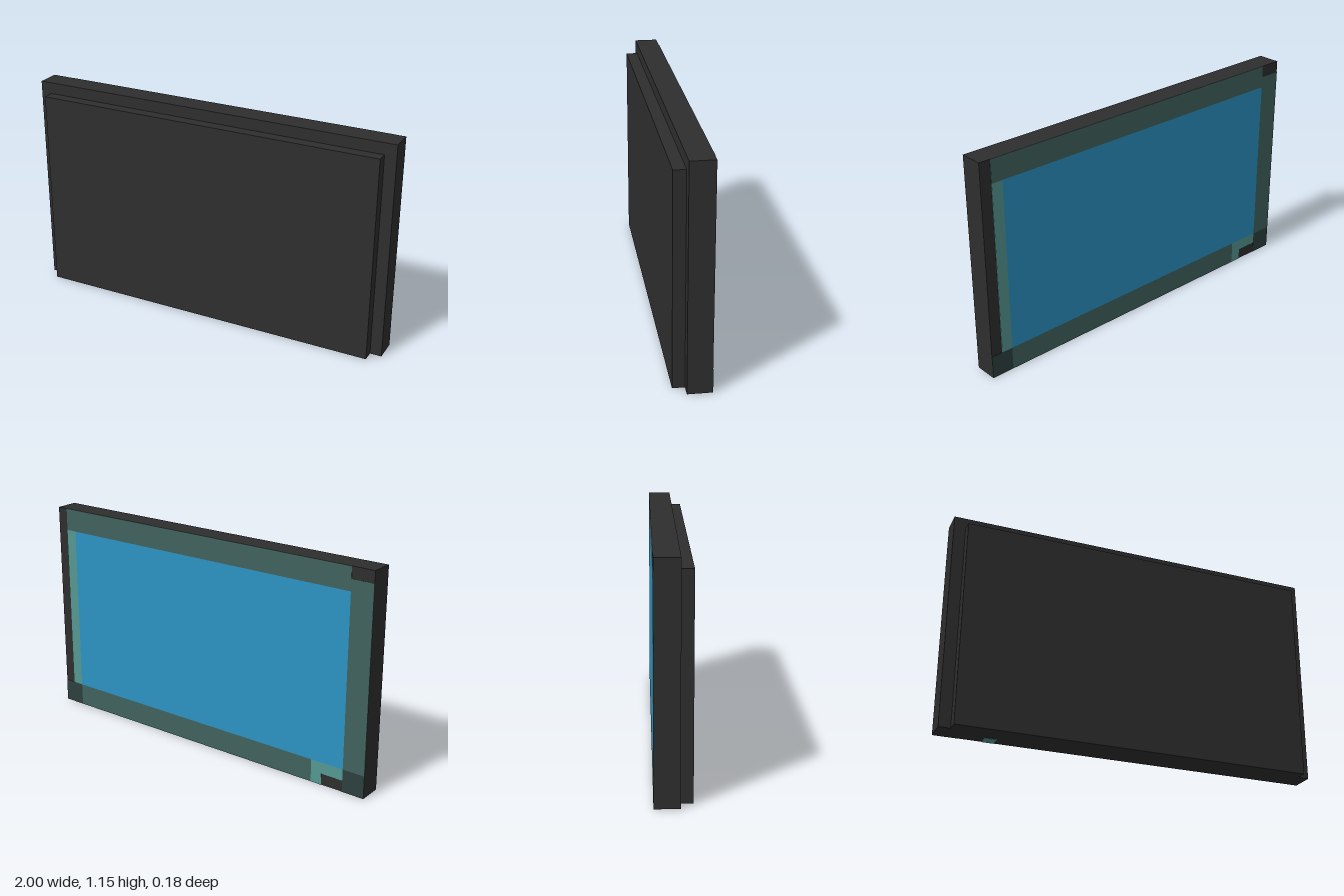
import * as THREE from 'three';

const U = 2 / 33; // the panel is laid out on a grid 33 cells wide

const mat = (name, color) => {
  const m = new THREE.MeshStandardMaterial({ color });
  m.name = name;
  return m;
};

export function createModel() {
  const charcoal = mat('charcoal', 0x2e2e2e);
  const blue = mat('screenBlue', 0x2b92c2);
  const teal = mat('teal', 0x40625d);
  const lightTeal = mat('lightTeal', 0x559791);
  const darkTeal = mat('darkTeal', 0x2c403f);

  const model = new THREE.Group();
  model.name = 'flatPanel';

  // Box given by its limits in grid cells
  const box = (name, material, [x0, x1], [y0, y1], [z0, z1]) => {
    const g = new THREE.BoxGeometry((x1 - x0) * U, (y1 - y0) * U, (z1 - z0) * U);
    const mesh = new THREE.Mesh(g, material);
    mesh.position.set((x0 + x1) / 2 * U, (y0 + y1) / 2 * U, (z0 + z1) / 2 * U);
    mesh.name = name;
    model.add(mesh);
  };

  // Casing: wide slab with a smaller slab on the front
  box('casing', charcoal, [-16.5, 16.5], [0, 19], [-1.5, 0.5]);
  box('frontSlab', charcoal, [-15.5, 15.5], [0, 18], [0.5, 1.5]);

  // Screen and frame plates on the back; bare casing shows between them
  const T = 0.03;
  const plate = (name, material, xs, ys) => box(name, material, xs, ys, [-1.5 - T, -1.5]);
  plate('screen', blue, [-14.5, 14.5], [2, 17]);
  plate('frameTop', teal, [-14.5, 15.5], [17, 19]);
  plate('frameSide', teal, [-16.5, -14.5], [2, 18]);
  plate('frameBottom', teal, [-11.5, 14.5], [0, 2]);
  plate('frameHighlight', lightTeal, [14.5, 15.5], [2, 17]);
  plate('cornerLeft', darkTeal, [14.5, 16.5], [0, 2]);
  plate('cornerRight', darkTeal, [-16.5, -14.5], [0, 2]);
  plate('buttonSide', lightTeal, [-12.5, -11.5], [0, 2]);
  plate('buttonTop', lightTeal, [-14.5, -12.5], [1, 2]);

  // Small patch where the button wraps under the casing
  box('buttonUnderside', lightTeal, [-12.5, -11.5], [-T, 0], [-1.5, -0.5]);

  return model;
}
